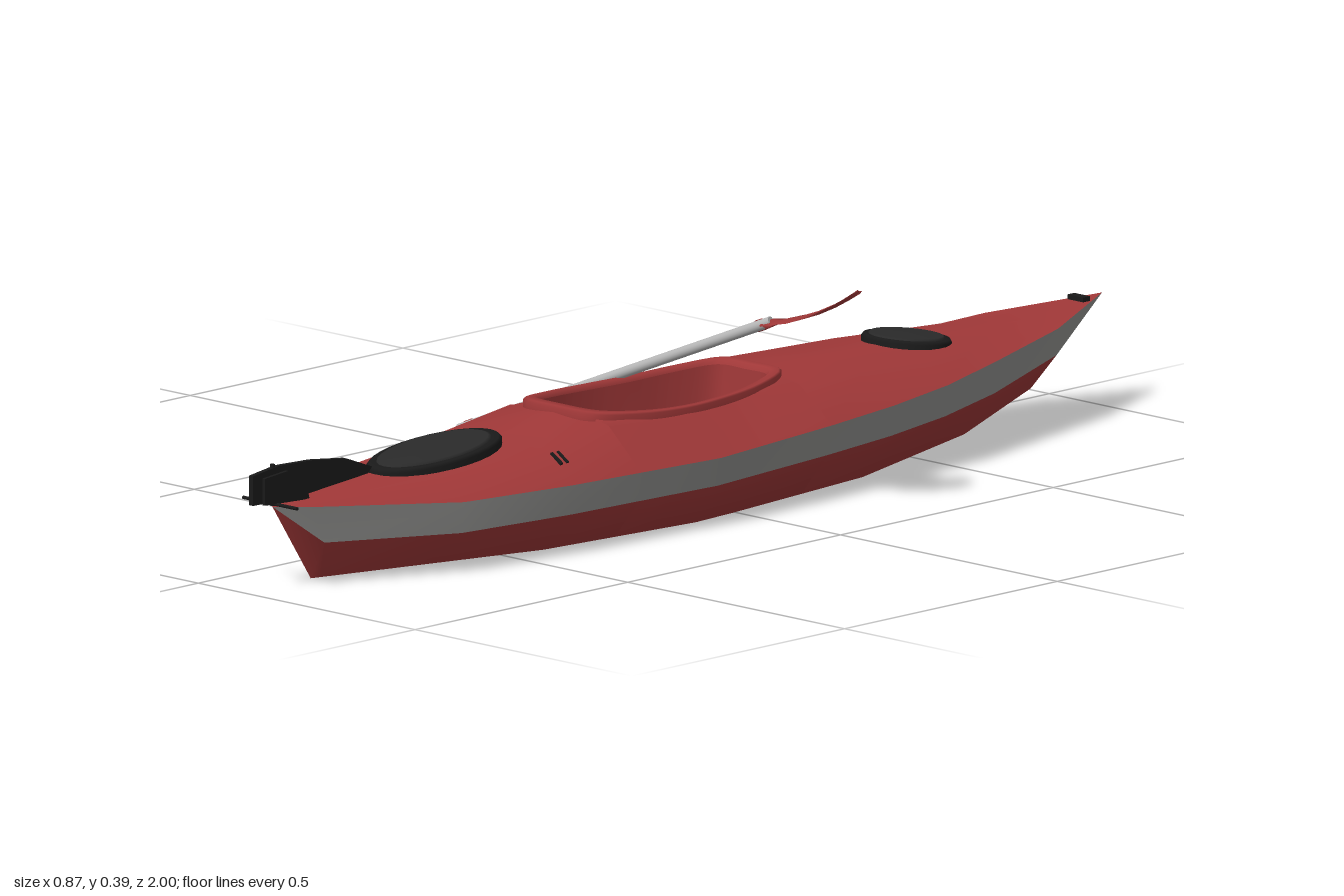
import * as THREE from 'three';
import { RoundedBoxGeometry } from 'three/addons/geometries/RoundedBoxGeometry.js';

const mat = (name, color) =>
  new THREE.MeshStandardMaterial({ name, color, side: THREE.DoubleSide });

// Skin a list of rings that all have the same number of [x, y, z] points
function loft(rings, closed) {
  const n = rings[0].length, index = [];
  for (let i = 0; i < rings.length - 1; i++)
    for (let j = 0; j < (closed ? n : n - 1); j++) {
      const a = i * n + j, b = i * n + (j + 1) % n;
      index.push(a, b, a + n, b, b + n, a + n);
    }
  const g = new THREE.BufferGeometry();
  g.setAttribute('position', new THREE.Float32BufferAttribute(rings.flat(2), 3));
  g.setIndex(index);
  g.computeVertexNormals();
  return g;
}

function add(parent, name, geometry, material, x = 0, y = 0, z = 0) {
  const m = new THREE.Mesh(geometry, material);
  m.name = name;
  m.position.set(x, y, z);
  parent.add(m);
  return m;
}

// Value at z along a polyline of [z, value] keys
function at(keys, z) {
  const i = Math.max(1, keys.findIndex(k => k[0] >= z));
  const [z0, v0] = keys[i - 1], [z1, v1] = keys[i];
  return THREE.MathUtils.lerp(v0, v1, THREE.MathUtils.clamp((z - z0) / (z1 - z0), 0, 1));
}

// Hull lines, bow (-z) to stern (+z)
const gunwaleW = [[-1, 0], [-.81, .085], [-.47, .165], [-.2, .19], [.1, .201],
  [.43, .18], [.65, .148], [.84, .044], [.86, 0]];
const gunwaleY = [[-1, .19], [-.62, .155], [-.33, .134], [.1, .118], [.65, .123], [.86, .14]];
const stripeDepth = [[-1, 0], [-.81, .045], [-.62, .055], [.1, .048], [.65, .053],
  [.84, .065], [.86, 0]];
const chineW = [[-1, 0], [-.81, .022], [-.33, .105], [.1, .143], [.43, .115], [.86, 0]];
const keelY = [[-1, .19], [-.81, .062], [-.62, .02], [-.33, .002], [0, 0], [.86, .005]];
const ridgeY = [[-1, .19], [-.81, .174], [-.47, .187], [-.17, .196], [.275, .196],
  [.43, .176], [.86, .144]];
const cockpitW = [[-.17, .066], [-.1, .095], [.1, .116], [.2, .106], [.275, .077]];
const sternRake = [[.65, 0], [.84, .45], [.86, .667]];
const STATIONS = [-1, -.81, -.62, -.47, -.33, -.171, -.17, -.1, 0, .1, .2, .275, .276,
  .43, .65, .84, .86];
const rimY = z => .187 + .012 * ((z - .05) / .23) ** 2;

// Half section at z: keel, chine, stripe bottom, gunwale, shoulder, inner deck edge
function section(z) {
  const open = z >= -.17 && z <= .275;
  const gw = at(gunwaleW, z), gy = at(gunwaleY, z), ky = at(keelY, z);
  const innerW = open ? at(cockpitW, z) : 0;
  const innerY = open ? rimY(z) - .004 : at(ridgeY, z);
  const shoulderW = open ? Math.max(gw * .6, innerW + .014) : gw * .6;
  return [[0, ky], [at(chineW, z), ky], [gw * .96, gy - at(stripeDepth, z)], [gw, gy],
    [shoulderW, gy + .88 * (innerY - gy)], [innerW, innerY],
  ].map(([x, y]) => [x, y, z + at(sternRake, z) * (y - ky)]);
}

// One side of the hull skin between two points of the section
const band = (first, last, side) => loft(STATIONS.map(z =>
  section(z).slice(first, last + 1).map(([x, y, pz]) => [side * x, y, pz])), false);

export function createModel() {
  const red = mat('hull red', 0xa03838);
  const grey = mat('stripe grey', 0x8a8a88);
  const silver = mat('shaft silver', 0xb4b4b4);
  const black = mat('fitting black', 0x1a1a1a);
  const lidBlack = mat('hatch black', 0x2a2a2a);

  const model = new THREE.Group();
  model.name = 'kayakAndPaddle';
  const boat = new THREE.Group();
  boat.name = 'kayak';
  boat.position.x = .122;
  model.add(boat);

  // Hull, stripe and deck, mirrored
  for (const s of [-1, 1]) {
    add(boat, 'lowerHull', band(0, 2, s), red);
    add(boat, 'sideStripe', band(2, 3, s), grey);
    add(boat, 'deck', band(3, 5, s), red);
  }

  // Cockpit rim and well, from one outline scaled inward and down
  const half = [[.065, -.18], [.1, -.1], [.115, 0], [.122, .1], [.112, .2], [.08, .28]];
  const outline = new THREE.CatmullRomCurve3([
    [0, -.185], ...half, [0, .29], ...half.map(([x, z]) => [-x, z]).reverse(),
  ].map(([x, z]) => new THREE.Vector3(x, 0, z)), true).getPoints(56).slice(0, -1);
  const ring = (scale, dy, floorY) => outline.map(p => [
    p.x * scale, floorY ?? rimY(p.z) + dy, .05 + (p.z - .05) * scale]);
  add(boat, 'cockpitRim', loft([ring(1, -.014), ring(1, .002), ring(.98, .005),
    ring(.91, .005), ring(.89, -.004)], true), red);
  add(boat, 'cockpitWell', loft([ring(.89, -.004), ring(.87, 0, .12), ring(.84, 0, .06),
    ring(.72, 0, .03), ring(0, 0, .025)], true), red);

  // Backrest
  const back = add(boat, 'backrest', new RoundedBoxGeometry(.16, .11, .022, 3, .01),
    black, 0, .128, .24);
  back.rotation.x = .25;

  // Oval hatches
  const lathe = pts => new THREE.LatheGeometry(pts.map(p => new THREE.Vector2(...p)), 28);
  const hatch = (name, y, z, rx, rz, tilt) => {
    const g = new THREE.Group();
    g.name = name;
    g.position.set(0, y, z);
    g.rotation.x = tilt;
    g.scale.set(rx, 1, rz);
    boat.add(g);
    add(g, 'hatchRim', lathe([[1, -.022], [1, .004], [.96, .009], [.84, .009]]), black);
    add(g, 'hatchLid', lathe([[.85, .006], [.84, .011], [.8, .013], [0, .015]]), lidBlack);
  };
  hatch('bowHatch', .182, -.54, .077, .073, -.1);
  hatch('sternHatch', .168, .57, .077, .14, .09);

  // Stowed rudder: blade, cheek plates, steering bar and pin
  const plate = (name, pts, x, t) => {
    const g = new THREE.ExtrudeGeometry(new THREE.Shape(pts.map(p => new THREE.Vector2(...p))),
      { depth: t, bevelEnabled: false });
    g.translate(0, 0, -t / 2);
    g.rotateY(-Math.PI / 2);
    add(boat, name, g, black, x);
  };
  plate('rudderBlade', [[.72, .172], [.73, .162], [.9, .148], [1, .15], [1, .2],
    [.94, .208], [.86, .205], [.78, .195]], 0, .009);
  for (const s of [-1, 1])
    plate('rudderCheek', [[.88, .145], [.985, .15], [.985, .195], [.93, .2], [.89, .185]],
      s * .014, .006);
  add(boat, 'rudderHub', new THREE.BoxGeometry(.03, .014, .07), black, 0, .165, .94);
  add(boat, 'rudderPin', new THREE.CylinderGeometry(.004, .004, .07, 8), black, 0, .177, .95);
  const bar = add(boat, 'steeringBar', new THREE.CylinderGeometry(.003, .003, .125, 8),
    black, 0, .147, .955);
  bar.rotation.z = Math.PI / 2;

  // Small deck fittings
  add(boat, 'bowHandle', new THREE.BoxGeometry(.036, .008, .016), black, 0, .19, -.945);
  for (const dz of [-.007, .007]) {
    const cleat = add(boat, 'deckCleat', new THREE.BoxGeometry(.028, .006, .005),
      black, .132, .156, .41 + dz);
    cleat.rotation.z = -.55;
  }
  const rosette = new THREE.Group();
  rosette.name = 'deckRosette';
  rosette.position.set(-.153, .158, -.16);
  rosette.rotation.z = .65;
  boat.add(rosette);
  for (let i = 0; i < 4; i++)
    add(rosette, 'rosetteArm', new THREE.BoxGeometry(.038, .004, .006), silver)
      .rotation.y = i * Math.PI / 4;

  // Paddle, built along its own x axis and laid across the boat
  const paddle = new THREE.Group();
  paddle.name = 'paddle';
  const dir = new THREE.Vector3(.54, .235, -.16).normalize();
  const across = dir.clone().cross(new THREE.Vector3(0, 1, 0)).normalize();
  const up = across.clone().cross(dir);
  paddle.quaternion.setFromRotationMatrix(new THREE.Matrix4().makeBasis(dir, up, across));
  paddle.position.set(0, .194, .02);
  model.add(paddle);
  add(paddle, 'shaft', new THREE.CylinderGeometry(.009, .009, .63, 16), silver)
    .rotation.z = Math.PI / 2;
  // Blade sections: distance along the shaft, half width, sag
  const sections = [[.285, .003, 0], [.3, .011, 0], [.33, .028, .005], [.365, .045, .01],
    [.405, .054, .012], [.44, .053, .01], [.468, .041, .006], [.484, .024, .002], [.491, .002, 0]];
  for (const s of [-1, 1])
    add(paddle, 'blade', loft(sections.map(([x, w, sag], i) => {
      const t = i < 2 ? .01 : .003;
      return [[s * x, -sag, -w], [s * x, t - sag, 0], [s * x, -sag, w], [s * x, -t - sag, 0]];
    }), true), red);

  return model;
}
